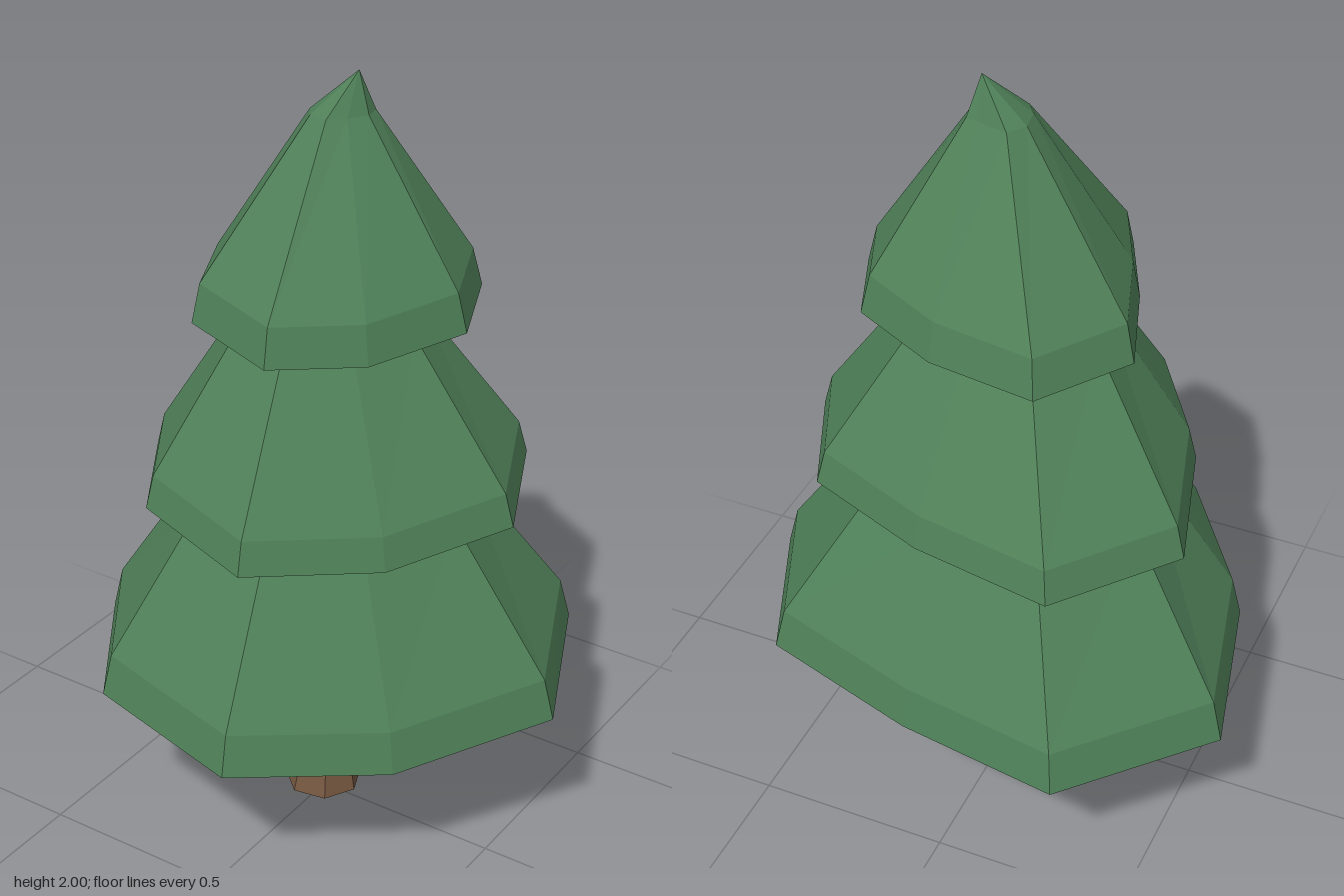
import * as THREE from 'three';

const foliage = new THREE.MeshStandardMaterial({ color: 0x4f8058 });
foliage.name = 'foliage green';
foliage.flatShading = true;
const bark = new THREE.MeshStandardMaterial({ color: 0x785a43 });
bark.name = 'bark brown';
bark.flatShading = true;

// Skin a stack of rings from bottom to top; a ring of one point closes the end.
function loft(name, rings, material) {
  const pos = [];
  const n = Math.max(...rings.map((r) => r.length));
  for (let k = 0; k + 1 < rings.length; k++) {
    const lo = rings[k], hi = rings[k + 1];
    for (let i = 0; i < n; i++) {
      const j = (i + 1) % n;
      const a = lo[i % lo.length], b = lo[j % lo.length];
      const c = hi[i % hi.length], d = hi[j % hi.length];
      if (lo.length > 1) pos.push(...b, ...a, ...c);
      if (hi.length > 1) pos.push(...b, ...c, ...d);
    }
  }
  const geometry = new THREE.BufferGeometry();
  geometry.setAttribute('position', new THREE.Float32BufferAttribute(pos, 3));
  geometry.computeVertexNormals();
  const mesh = new THREE.Mesh(geometry, material);
  mesh.name = name;
  return mesh;
}

// Nine uneven corners of each rim, as [x, z]
const rimCorners = [
  [[-0.34, -0.58], [0.07, -0.545], [0.475, -0.445], [0.655, -0.035], [0.42, 0.33],
    [0.09, 0.575], [-0.33, 0.5], [-0.56, 0.16], [-0.66, -0.26]],
  [[-0.285, -0.49], [0.065, -0.455], [0.375, -0.355], [0.52, -0.035], [0.35, 0.265],
    [0.08, 0.48], [-0.26, 0.385], [-0.43, 0.115], [-0.525, -0.22]],
  [[-0.2, -0.37], [0.065, -0.355], [0.28, -0.265], [0.375, -0.035], [0.255, 0.2],
    [0.07, 0.35], [-0.185, 0.28], [-0.285, 0.065], [-0.36, -0.16]],
];
// Rise and dip of the rim at each corner
const wave = [-0.035, 0, 0.035, 0.01, -0.03, -0.025, 0.015, 0.025, -0.015];
// Small ring just under the leaning tip
const tipRing = [[-0.02, -0.105], [0.06, -0.085], [0.09, -0.08], [0.1, -0.035], [0.07, 0.01],
  [0.035, 0.045], [-0.015, 0.035], [-0.04, 0], [-0.05, -0.06]];

const ring = (corners, scale, y, waviness = 0) =>
  corners.map(([x, z], i) => [x * scale, y + wave[i] * waviness, z * scale]);

export function createModel() {
  const tree = new THREE.Group();
  tree.name = 'pineTree';

  // Rings where one tier meets the next
  const base = ring(rimCorners[0], 0.31, 0.32);
  const necks = [base, ring(rimCorners[0], 0.56, 0.92), ring(rimCorners[1], 0.47, 1.39)];

  // Tiers: underside, rim, shoulder, then the slope up to the next neck or the tip
  const tiers = [
    { name: 'lowerTier', y: 0.435, lift: 0.107, shrink: 0.957, waviness: 1 },
    { name: 'middleTier', y: 0.942, lift: 0.085, shrink: 0.955, waviness: 0.8 },
    { name: 'upperTier', y: 1.418, lift: 0.097, shrink: 0.935, waviness: 0.6 },
  ];
  tiers.forEach(({ name, y, lift, shrink, waviness }, t) => {
    const rings = [
      necks[t],
      ring(rimCorners[t], 1, y, waviness),
      ring(rimCorners[t], shrink, y + lift, waviness),
    ];
    if (t === 0) rings.unshift([[0, 0.32, 0]]);
    if (t < 2) rings.push(necks[t + 1]);
    else rings.push(ring(tipRing, 1, 1.9), [[0.066, 2, -0.045]]);
    tree.add(loft(name, rings, foliage));
  });

  // Seven-sided trunk with a flared foot
  const trunkRing = (r, y, cx, cz) => Array.from({ length: 7 }, (_, i) => {
    const a = ((i * 360) / 7 + 3) * (Math.PI / 180);
    return [cx + r * Math.cos(a), y, cz + r * Math.sin(a)];
  });
  tree.add(loft('trunk', [
    [[-0.02, 0, -0.027]],
    trunkRing(0.102, 0, -0.02, -0.027),
    trunkRing(0.07, 0.17, -0.01, -0.022),
    trunkRing(0.064, 0.34, -0.004, -0.02),
  ], bark));

  return tree;
}
